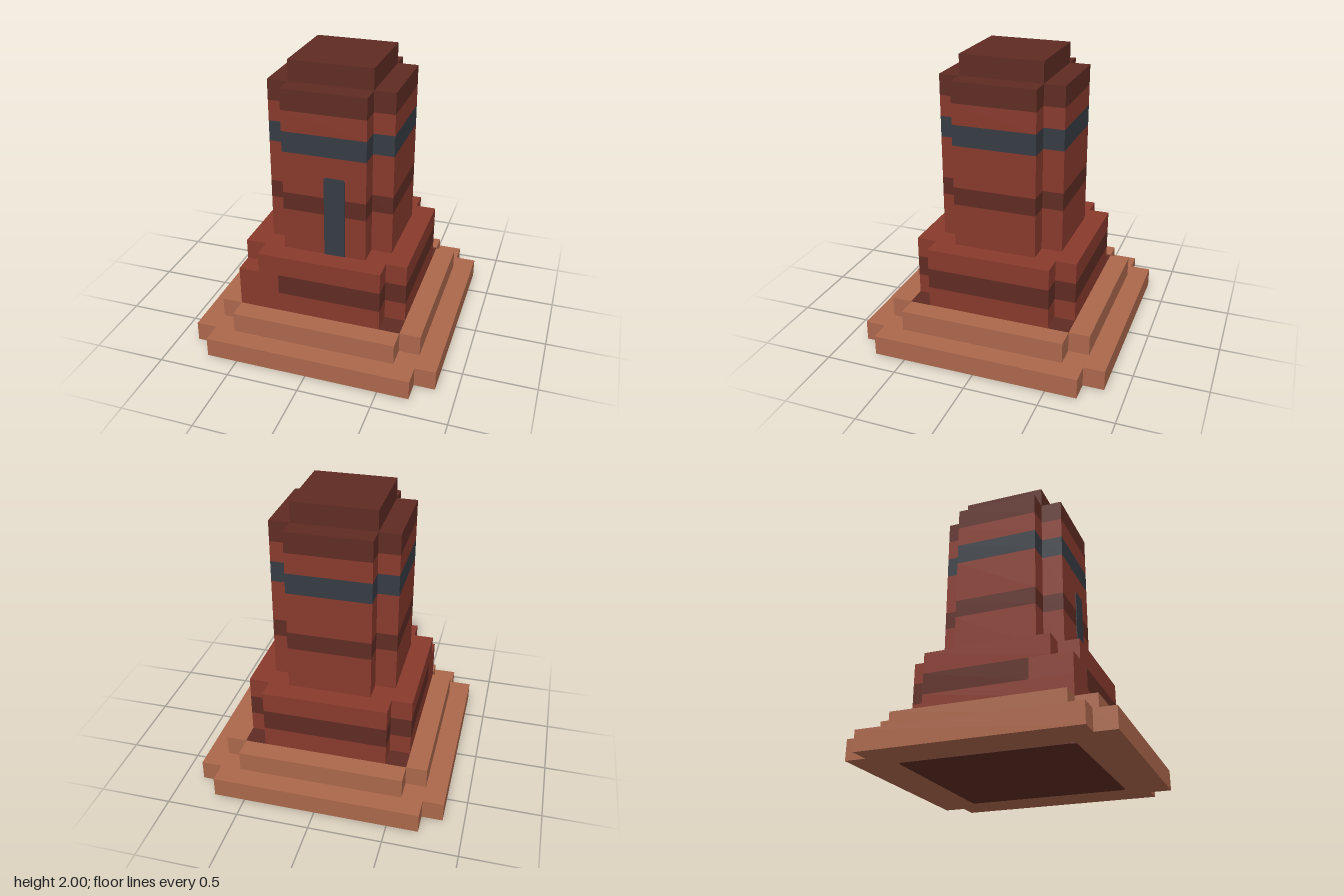
import * as THREE from 'three';

const U = 1 / 7;        // one building block
const THIN = 0.004;     // thickness of painted plates

const paint = (name, color) => {
  const m = new THREE.MeshStandardMaterial({ color });
  m.name = name;
  return m;
};

// Square with notched corners; the front corner at -x is notched to its own depth
function notchedSquare(half, arm, frontCorner = arm) {
  const h = half, a = arm, c = frontCorner;
  const pts = [[a, -h], [a, -a], [h, -a], [h, a], [a, a], [a, h], [-a, h], [-a, a], [-h, a]];
  if (c === h) pts.push([-h, -h]);
  else pts.push([-h, -c], [-c, -c], [-c, -h]);
  return new THREE.Shape(pts.map(([x, y]) => new THREE.Vector2(x * U, y * U)));
}

// Rectangle with rounded top corners, and optionally rounded bottom corners
function roundedRect(x0, y0, x1, y1, top, bottom) {
  const s = new THREE.Shape();
  s.moveTo(x0 + bottom, y0);
  s.lineTo(x1 - bottom, y0);
  if (bottom) s.quadraticCurveTo(x1, y0, x1, y0 + bottom);
  s.lineTo(x1, y1 - top);
  s.quadraticCurveTo(x1, y1, x1 - top, y1);
  s.lineTo(x0 + top, y1);
  s.quadraticCurveTo(x0, y1, x0, y1 - top);
  s.lineTo(x0, y0 + bottom);
  if (bottom) s.quadraticCurveTo(x0, y0, x0 + bottom, y0);
  return s;
}

export function createModel() {
  const tan = paint('tanStone', 0xab674b);
  const red = paint('redBrick', 0x883a2d);
  const dark = paint('darkBrick', 0x5f2c23);
  const slate = paint('slate', 0x363c43);

  const model = new THREE.Group();
  model.name = 'steppedTower';

  const add = (name, geometry, material) => {
    const mesh = new THREE.Mesh(geometry, material);
    mesh.name = name;
    model.add(mesh);
    return mesh;
  };
  // Horizontal slab of a floor plan between two heights
  const slab = (name, plan, y0, y1, material) => {
    const g = new THREE.ExtrudeGeometry(plan, { depth: y1 - y0, bevelEnabled: false, curveSegments: 4 });
    g.rotateX(-Math.PI / 2).translate(0, y0, 0);
    return add(name, g, material);
  };
  // Box given by its limits in block units
  const block = (name, [x0, y0, z0], [x1, y1, z1], material) => {
    const g = new THREE.BoxGeometry((x1 - x0) * U, (y1 - y0) * U, (z1 - z0) * U);
    g.translate((x0 + x1) / 2 * U, (y0 + y1) / 2 * U, (z0 + z1) / 2 * U);
    return add(name, g, material);
  };

  // Two base steps with a dark patch underneath
  slab('undersidePatch', roundedRect(-4 * U, -4 * U, 4 * U, 4 * U, 0.03, 0.03), 0, THIN, dark);
  slab('lowerStep', notchedSquare(6, 5), THIN, U, tan);
  slab('upperStep', notchedSquare(5, 4), U, 2 * U, tan);

  // Dark floor tiles in the three open corners of the plinth
  for (const [x, z] of [[3, 3], [3, -4], [-4, -4]])
    block('cornerTile', [x, 2, z], [x + 1, 2 + THIN / U, z + 1], dark);

  // Plinth: one front corner is filled to two blocks high and interrupts the dark band
  slab('plinthBottom', notchedSquare(4, 3, 4), 2 * U, 3 * U, red);
  slab('plinthBand', notchedSquare(4, 3, 2), 3 * U, 4 * U, dark);
  block('plinthCorner', [-4, 3, 2], [-2, 4, 4], red);
  slab('plinthTop', notchedSquare(4, 3), 4 * U, 5 * U, red);

  // Shaft in coloured courses: name, bottom, top, material
  const courses = [
    ['shaftLower', 5 * U, 1.013, red],
    ['shaftDarkBand', 1.013, 1.136, dark],
    ['shaftMiddle', 1.136, 10 * U, red],
    ['shaftSlateBand', 10 * U, 11 * U, slate],
    ['shaftUpper', 11 * U, 12 * U, red],
    ['shaftCrown', 12 * U, 13 * U, dark],
  ];
  for (const [name, y0, y1, material] of courses)
    slab(name, notchedSquare(3, 2), y0, y1, material);

  // Cap
  block('cap', [-2, 13, -2], [2, 14, 2], dark);

  // Narrow door on the front
  const door = new THREE.ExtrudeGeometry(
    roundedRect(0, 5 * U, U, 9 * U, 0.02, 0),
    { depth: THIN, bevelEnabled: false, curveSegments: 4 });
  add('door', door.translate(0, 0, 3 * U), slate);

  return model;
}
